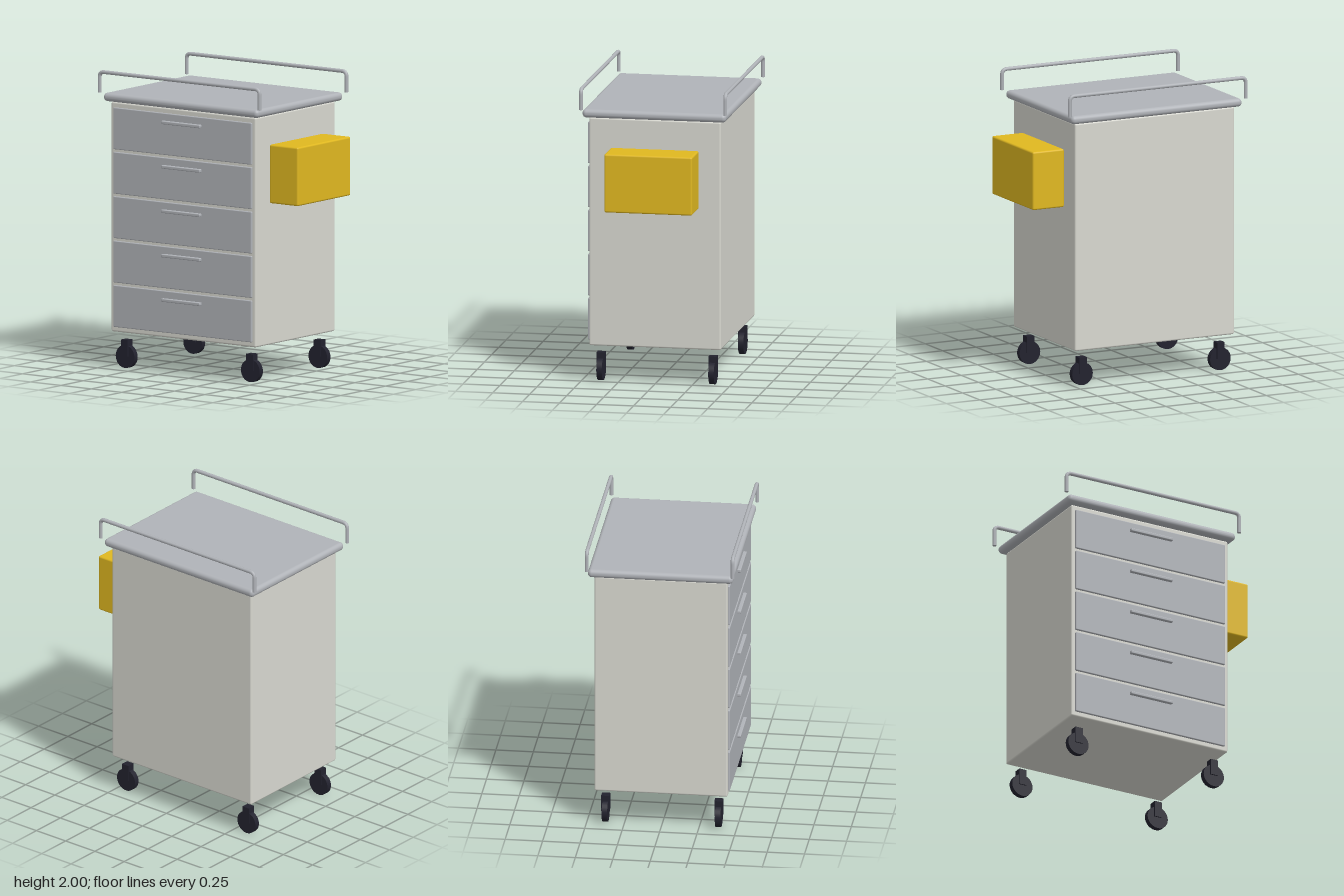
import * as THREE from 'three';
import { RoundedBoxGeometry } from 'three/addons/geometries/RoundedBoxGeometry.js';

const material = (name, color) => {
  const m = new THREE.MeshStandardMaterial({ color });
  m.name = name;
  return m;
};

export function createModel() {
  const model = new THREE.Group();
  model.name = 'drawerTrolley';
  const cream = material('cabinet cream', 0xd8d8d0);
  const steel = material('steel grey', 0xb0b3b8);
  const yellow = material('bin yellow', 0xe0b820);
  const dark = material('caster black', 0x22222e);
  const midX = -0.085;

  const add = (name, geometry, mat, x, y, z, parent = model) => {
    const mesh = new THREE.Mesh(geometry, mat);
    mesh.name = name;
    mesh.position.set(x, y, z);
    parent.add(mesh);
    return mesh;
  };
  const rounded = (w, h, d, r, segments = 3) => new RoundedBoxGeometry(w, h, d, segments, r);

  // Cabinet body and worktop
  add('cabinet', rounded(1.19, 1.542, 0.89, 0.012), cream, midX, 1.016, 0);
  add('worktop', rounded(1.272, 0.056, 0.97, 0.026, 5), steel, midX, 1.818, 0);

  // Five drawers with bar handles
  for (let i = 0; i < 5; i++) {
    const drawer = new THREE.Group();
    drawer.name = 'drawer' + (i + 1);
    drawer.position.set(midX, 0.419 + i * 0.298, 0);
    model.add(drawer);
    add('drawerFront', rounded(1.136, 0.28, 0.03, 0.006), steel, 0, 0, 0.443, drawer);
    add('drawerHandle', rounded(0.318, 0.022, 0.028, 0.006), steel, 0, 0.08, 0.467, drawer);
  }

  // Side bin
  add('sideBin', rounded(0.235, 0.394, 0.594, 0.012), yellow, 0.631, 1.393, 0);

  // Bent tube rails along the front and back of the worktop
  const half = 0.657, bend = 0.035, low = 1.848, high = 1.987;
  const v = (x, y) => new THREE.Vector3(x, y, 0);
  const path = new THREE.CurvePath();
  path.add(new THREE.LineCurve3(v(-half, low), v(-half, high - bend)));
  path.add(new THREE.QuadraticBezierCurve3(v(-half, high - bend), v(-half, high), v(-half + bend, high)));
  path.add(new THREE.LineCurve3(v(-half + bend, high), v(half - bend, high)));
  path.add(new THREE.QuadraticBezierCurve3(v(half - bend, high), v(half, high), v(half, high - bend)));
  path.add(new THREE.LineCurve3(v(half, high - bend), v(half, low)));
  const railGeometry = new THREE.TubeGeometry(path, 160, 0.013, 12, false);
  const capGeometry = new THREE.CircleGeometry(0.013, 12).rotateX(Math.PI / 2);
  for (const side of [1, -1]) {
    const rail = new THREE.Group();
    rail.name = side > 0 ? 'frontRail' : 'backRail';
    rail.position.set(midX, 0, side * 0.487);
    model.add(rail);
    add('railTube', railGeometry, steel, 0, 0, 0, rail);
    for (const end of [-1, 1]) add('railEnd', capGeometry, steel, end * half, low, 0, rail);
  }

  // Four casters
  const wheelGeometry = new THREE.CylinderGeometry(0.077, 0.077, 0.037, 32).rotateX(Math.PI / 2);
  const forkGeometry = new THREE.BoxGeometry(0.055, 0.11, 0.055);
  for (const x of [-0.6, 0.43]) {
    for (const z of [0.378, -0.378]) {
      const caster = new THREE.Group();
      caster.name = 'caster';
      caster.position.set(x, 0, z);
      model.add(caster);
      add('wheel', wheelGeometry, dark, 0, 0.077, 0, caster);
      add('fork', forkGeometry, dark, 0, 0.135, 0, caster);
    }
  }
  return model;
}
